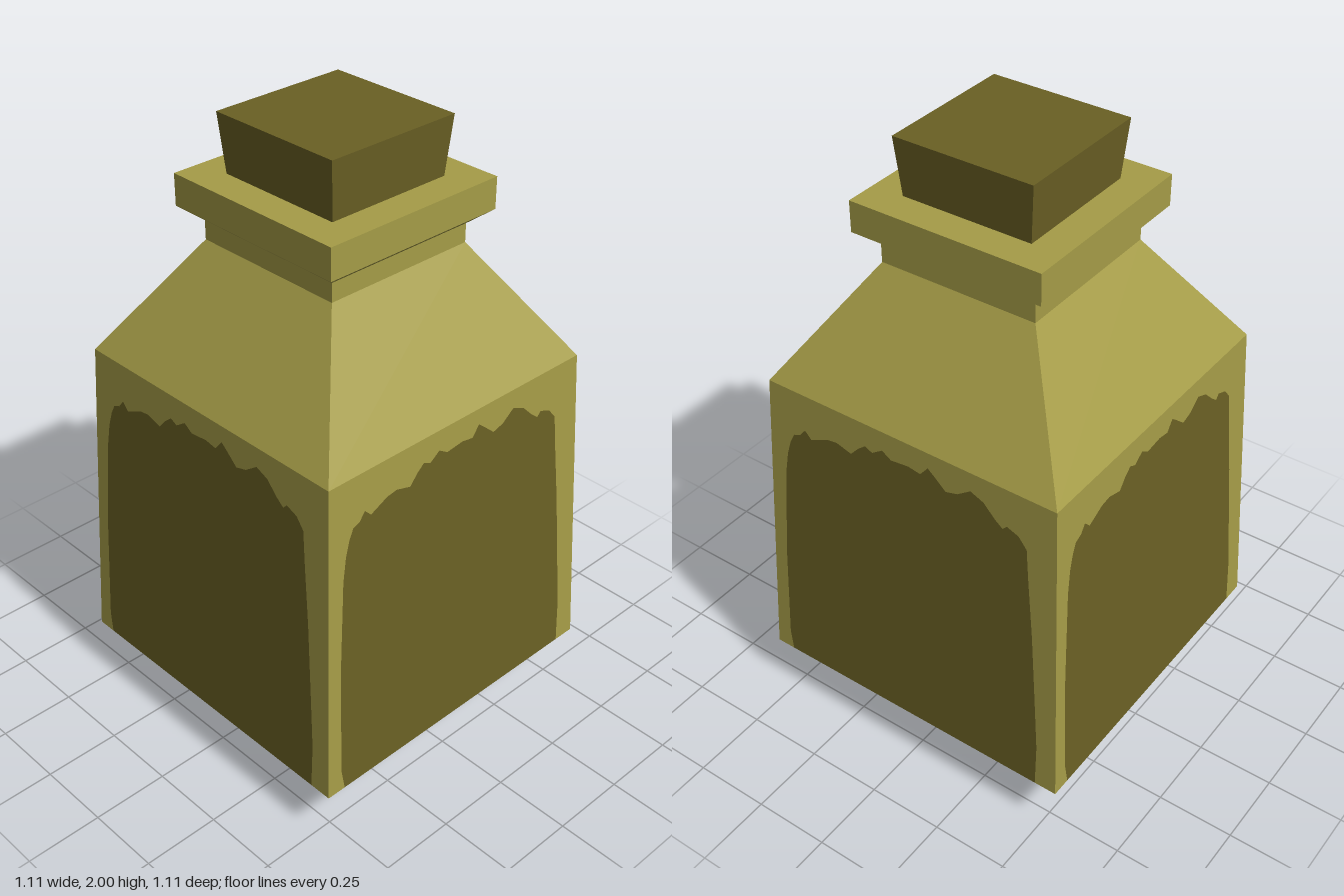
import * as THREE from 'three';

const glass = new THREE.MeshStandardMaterial({ color: 0xa59c47 });
glass.name = 'olive glass';
const dark = new THREE.MeshStandardMaterial({ color: 0x6a6024 });
dark.name = 'dark olive';

// Half-widths of the square body at its three levels
const FOOT = [0.41, 0], HIP = [0.555, 0.18], SHOULDER = [0.51, 1.24];

// Wavy outline of the liquid on one wall, left to right
const liquidEdge = [
  [-0.49, 0.18], [-0.5, 0.25], [-0.49, 0.6], [-0.468, 0.92], [-0.455, 1.0], [-0.44, 1.05],
  [-0.425, 1.08], [-0.4, 1.09], [-0.38, 1.115], [-0.357, 1.092], [-0.294, 1.12], [-0.257, 1.125],
  [-0.204, 1.11], [-0.177, 1.14], [-0.15, 1.162], [-0.124, 1.15], [-0.087, 1.175], [-0.055, 1.155],
  [0.008, 1.162], [0.05, 1.155], [0.077, 1.188], [0.103, 1.167], [0.14, 1.135], [0.18, 1.146],
  [0.225, 1.178], [0.27, 1.16], [0.31, 1.12], [0.336, 1.1], [0.35, 1.115], [0.39, 1.1],
  [0.418, 1.066], [0.426, 0.97], [0.447, 0.76], [0.468, 0.49], [0.48, 0.33], [0.48, 0.18],
];

// Boundaries of the clear corners on the bevel under each wall, top to bottom
const bevelLeft = [[-0.49, 0.18], [-0.45, 0.14], [-0.41, 0.105], [-0.405, 0.09], [-0.42, 0.06], [-0.434, 0.03]];
const bevelRight = [[0.48, 0.18], [0.458, 0.148], [0.437, 0.117], [0.458, 0.106], [0.491, 0.1]];

// Flat patch lying on the sloped face between two levels
function facePatch(name, points, low, high, material) {
  const shape = new THREE.Shape(points.map(([x, y]) => new THREE.Vector2(x, y)));
  const geometry = new THREE.ShapeGeometry(shape);
  const p = geometry.attributes.position;
  for (let i = 0; i < p.count; i++) {
    const t = (p.getY(i) - low[1]) / (high[1] - low[1]);
    p.setZ(i, low[0] + (high[0] - low[0]) * t);
  }
  geometry.computeVertexNormals();
  const mesh = new THREE.Mesh(geometry, material);
  mesh.name = name;
  return mesh;
}

// Four-sided tapered block with flat faces
function taper(name, [bottom, y0], [top, y1], material, open = false) {
  const r = Math.SQRT2;
  let geometry = new THREE.CylinderGeometry(top * r, bottom * r, y1 - y0, 4, 1, open);
  geometry = geometry.rotateY(Math.PI / 4).translate(0, (y0 + y1) / 2, 0).toNonIndexed();
  geometry.computeVertexNormals();
  const mesh = new THREE.Mesh(geometry, material);
  mesh.name = name;
  return mesh;
}

export function createModel() {
  const bottle = new THREE.Group();
  bottle.name = 'bottle';

  // Four identical sides: liquid and clear glass meet edge to edge
  for (let i = 0; i < 4; i++) {
    const side = new THREE.Group();
    side.name = 'bodySide';
    side.rotation.y = i * Math.PI / 2;
    side.add(
      facePatch('liquid', liquidEdge, HIP, SHOULDER, dark),
      facePatch('glassWall',
        [[-0.555, 0.18], ...liquidEdge, [0.555, 0.18], [0.51, 1.24], [-0.51, 1.24]],
        HIP, SHOULDER, glass),
      facePatch('liquidBevel',
        [...bevelLeft, [-0.41, 0], [0.41, 0], ...[...bevelRight].reverse()],
        FOOT, HIP, dark),
      facePatch('leftBevelCorner', [[-0.555, 0.18], ...bevelLeft], FOOT, HIP, glass),
      facePatch('rightBevelCorner', [[0.555, 0.18], ...bevelRight], FOOT, HIP, glass),
    );
    bottle.add(side);
  }

  // Underside
  const underside = new THREE.Mesh(new THREE.PlaneGeometry(0.82, 0.82).rotateX(Math.PI / 2), dark);
  underside.name = 'underside';
  bottle.add(underside);

  // Shoulder, neck, lip and stopper
  bottle.add(
    taper('shoulder', SHOULDER, [0.263, 1.61], glass, true),
    taper('neck', [0.263, 1.61], [0.263, 1.67], glass, true),
    taper('lipFlare', [0.263, 1.67], [0.32, 1.715], glass, true),
    taper('lip', [0.32, 1.715], [0.32, 1.815], glass),
    taper('stopper', [0.215, 1.81], [0.231, 2], dark),
  );
  return bottle;
}
